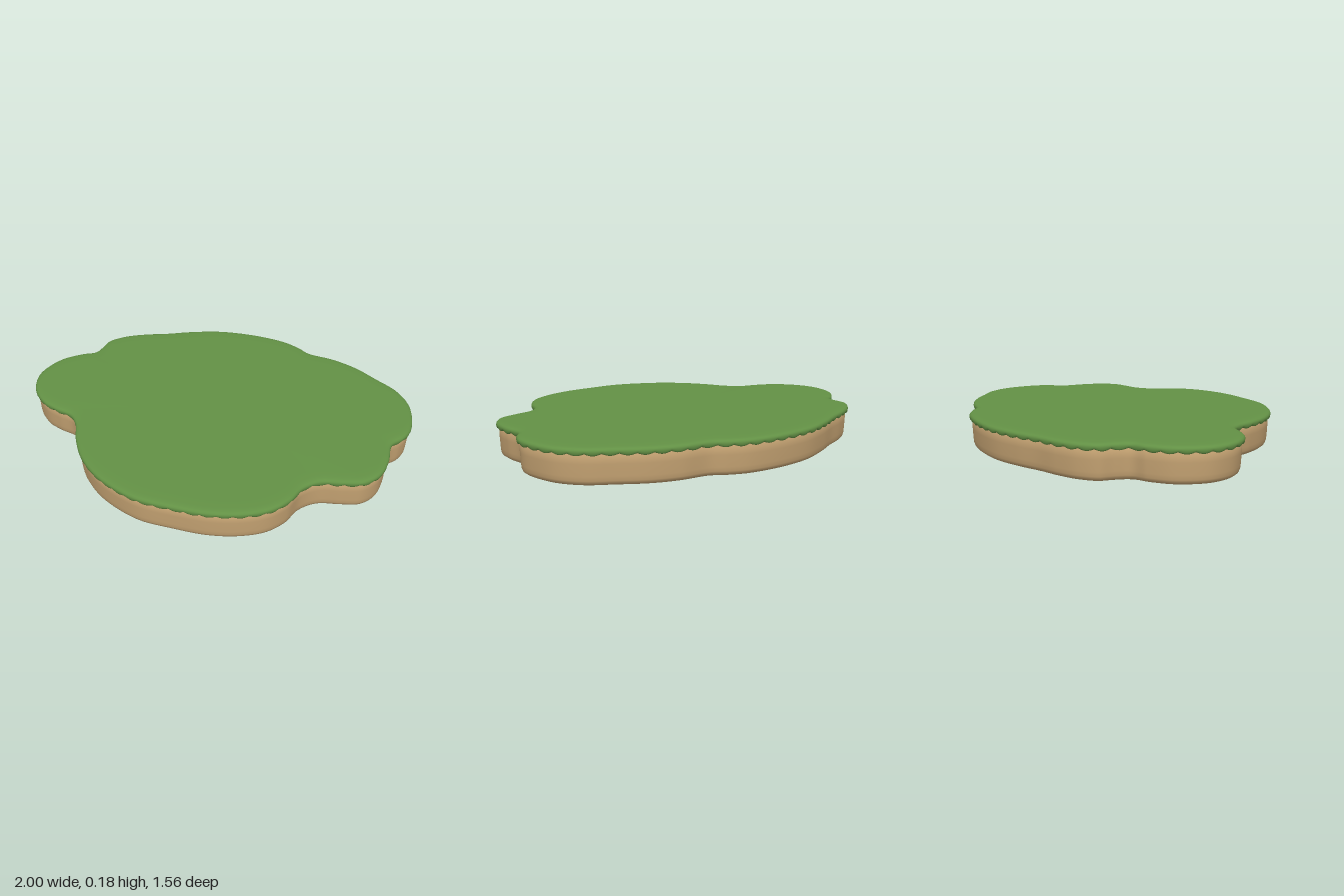
import * as THREE from 'three';

// Outline of the island in plan as x, z pairs
const OUTLINE = [
  [1, -0.1], [0.98, -0.25], [0.91, -0.37], [0.8, -0.46], [0.68, -0.55], [0.55, -0.61], [0.41, -0.645],
  [0.35, -0.69], [0.26, -0.738], [0.13, -0.77], [-0.02, -0.783], [-0.15, -0.775], [-0.3, -0.737],
  [-0.43, -0.69], [-0.55, -0.655], [-0.66, -0.605], [-0.735, -0.535], [-0.753, -0.46], [-0.775, -0.405],
  [-0.84, -0.372], [-0.93, -0.3], [-0.985, -0.2], [-1, -0.11], [-0.97, 0.01], [-0.89, 0.11], [-0.8, 0.16],
  [-0.71, 0.195], [-0.66, 0.26], [-0.62, 0.37], [-0.55, 0.5], [-0.45, 0.61], [-0.33, 0.69], [-0.2, 0.745],
  [-0.05, 0.765], [0.13, 0.775], [0.28, 0.75], [0.4, 0.695], [0.48, 0.61], [0.53, 0.51], [0.6, 0.455],
  [0.7, 0.44], [0.8, 0.415], [0.87, 0.34], [0.9, 0.23], [0.91, 0.1], [0.96, 0.04], [0.99, -0.02],
];
const SEGMENTS = 600;
const SCALLOPS = 75;

const curve = new THREE.CatmullRomCurve3(OUTLINE.map(([x, z]) => new THREE.Vector3(x, 0, z)), true);
curve.arcLengthDivisions = 1000;

// Stacks rings from bottom centre to top centre.
// Each ring: inset from the outline, height y, scale about the centre, scallop depth.
function slab(rings) {
  const positions = [];
  const index = [];
  for (const { inset, y, scale = 1, scallop = 0 } of rings) {
    for (let i = 0; i < SEGMENTS; i++) {
      const u = i / SEGMENTS;
      const p = curve.getPointAt(u);
      const t = curve.getTangentAt(u);
      const wave = Math.abs(Math.sin(Math.PI * SCALLOPS * u));
      positions.push((p.x + t.z * inset) * scale, y - scallop * wave, (p.z - t.x * inset) * scale);
    }
  }
  for (let r = 0; r < rings.length - 1; r++) {
    for (let i = 0; i < SEGMENTS; i++) {
      const j = (i + 1) % SEGMENTS;
      const a = r * SEGMENTS + i, b = r * SEGMENTS + j;
      index.push(a, b, b + SEGMENTS, a, b + SEGMENTS, a + SEGMENTS);
    }
  }
  // Close both ends with a fan
  const low = positions.length / 3;
  const top = (rings.length - 1) * SEGMENTS;
  positions.push(0, rings[0].y, 0, 0, rings[rings.length - 1].y, 0);
  for (let i = 0; i < SEGMENTS; i++) {
    const j = (i + 1) % SEGMENTS;
    index.push(low, j, i, low + 1, top + i, top + j);
  }
  const geometry = new THREE.BufferGeometry();
  geometry.setAttribute('position', new THREE.Float32BufferAttribute(positions, 3));
  geometry.setIndex(index);
  geometry.computeVertexNormals();
  return geometry;
}

export function createModel() {
  const soil = new THREE.MeshStandardMaterial({ name: 'sandy soil', color: 0xc4a272 });
  const grass = new THREE.MeshStandardMaterial({ name: 'grass green', color: 0x639145 });
  const group = new THREE.Group();
  group.name = 'island';

  // Soil body with a rounded lower edge
  const soilBody = new THREE.Mesh(slab([
    { inset: 0.05, y: 0, scale: 0.5 },
    { inset: 0.05, y: 0, scale: 0.97 },
    { inset: 0.05, y: 0 },
    { inset: 0.035, y: 0.004 },
    { inset: 0.024, y: 0.012 },
    { inset: 0.019, y: 0.025 },
    { inset: 0.017, y: 0.045 },
    { inset: 0.014, y: 0.1 },
    { inset: 0.013, y: 0.155 },
    { inset: 0.05, y: 0.156 },
  ]), soil);
  soilBody.name = 'soilBody';

  // Grass cap with a rolled rim, scalloped lower edge and slightly domed top
  const grassCap = new THREE.Mesh(slab([
    { inset: 0.03, y: 0.15 },
    { inset: 0.012, y: 0.147, scallop: 0.009 },
    { inset: 0.005, y: 0.147, scallop: 0.009 },
    { inset: 0.001, y: 0.151, scallop: 0.006 },
    { inset: 0, y: 0.157, scallop: 0.002 },
    { inset: 0.002, y: 0.163 },
    { inset: 0.008, y: 0.168 },
    { inset: 0.018, y: 0.171 },
    { inset: 0.035, y: 0.173 },
    { inset: 0.04, y: 0.174, scale: 0.95 },
    { inset: 0.04, y: 0.177, scale: 0.7 },
    { inset: 0.04, y: 0.179, scale: 0.35 },
    { inset: 0.04, y: 0.18, scale: 0.08 },
  ]), grass);
  grassCap.name = 'grassCap';

  group.add(soilBody, grassCap);
  return group;
}
